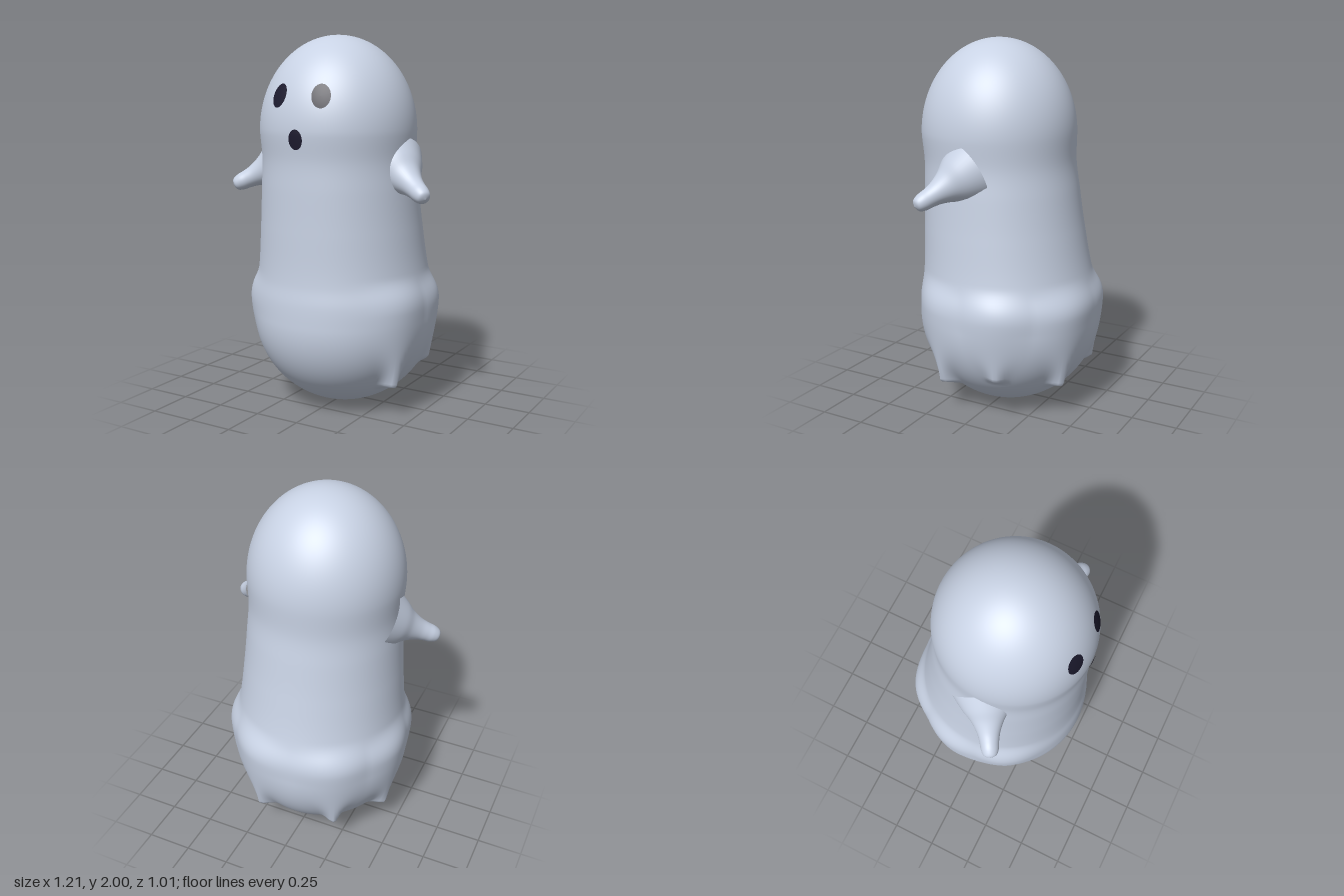
import * as THREE from 'three';
import { mergeVertices } from 'three/addons/utils/BufferGeometryUtils.js';

const { smoothstep, degToRad } = THREE.MathUtils;

// Body cross-section: radius and z offset by height, between the domed ends
const heights = [0.38, 0.5, 0.62, 0.72, 1.0, 1.2, 1.35, 1.5, 1.62];
const sections = [0.5, 0, 0.5, 0, 0.495, 0, 0.472, 0.01, 0.44, 0.035,
  0.424, 0.05, 0.413, 0.06, 0.42, 0.067, 0.42, 0.067];
const spline = new THREE.CubicInterpolant(heights, sections, 2, new Float32Array(2));

function section(y) {
  if (y > 1.5) return [0.42 * Math.sqrt(Math.max(0, 1 - ((y - 1.5) / 0.5) ** 2)), 0.067];
  if (y < 0.5) return [0.5 * Math.sqrt(Math.max(0, 1 - ((y - 0.5) / 0.5) ** 2)), 0];
  const v = spline.evaluate(y);
  return [v[0], v[1]];
}

// Hem lobes: angle from the front in degrees, height of the hanging tip
const lobes = [[65, 0.155], [109, 0.235], [155, 0.175], [-147, 0.18], [-104, 0.17], [-62, 0.3]];

function lobeBulge(angle, y, r) {
  let bulge = 0;
  for (const [deg, tip] of lobes) {
    let d = angle - degToRad(deg);
    d = Math.abs(Math.atan2(Math.sin(d), Math.cos(d)));
    const k = smoothstep(y, tip, 0.6);
    const width = degToRad(5 + 15 * k);
    const ridge = 0.465 + 0.058 * smoothstep(y, tip - 0.1, 0.6);
    const fade = smoothstep(y, tip - 0.02, tip + 0.025) * (1 - smoothstep(y, 0.58, 0.76));
    bulge = Math.max(bulge, Math.max(0, ridge - r) * fade * Math.exp(-((d / width) ** 2)));
  }
  return bulge;
}

function bodyGeometry() {
  const geo = new THREE.SphereGeometry(1, 144, 180);
  const p = geo.attributes.position;
  for (let i = 0; i < p.count; i++) {
    const y = 1 + p.getY(i);
    const a = Math.atan2(p.getX(i), p.getZ(i));
    const [r0, cz] = section(y);
    const r = r0 + lobeBulge(a, y, r0);
    p.setXYZ(i, r * Math.sin(a), y, cz + r * Math.cos(a));
  }
  geo.deleteAttribute('uv');
  geo.deleteAttribute('normal');
  const merged = mergeVertices(geo, 1e-5);
  merged.computeVertexNormals();
  return merged;
}

// Flared stub arm, turned around its own axis
function makeArm(side, material) {
  const start = new THREE.Vector3(0.33 * side, 1.325, 0.065);
  const end = new THREE.Vector3(0.592 * side, 1.182, 0.222);
  const dir = end.clone().sub(start);
  const len = dir.length();
  const profile = new THREE.SplineCurve([
    [0.17, 0], [0.128, 0.08], [0.088, 0.14], [0.062, 0.2], [0.051, 0.25],
    [0.046, len - 0.045], [0.032, len - 0.012], [0, len],
  ].map(([x, y]) => new THREE.Vector2(x, y))).getPoints(40);
  profile[profile.length - 1].x = 0;
  const arm = new THREE.Mesh(new THREE.LatheGeometry(profile, 40), material);
  arm.position.copy(start);
  arm.quaternion.setFromUnitVectors(new THREE.Vector3(0, 1, 0), dir.normalize());
  return arm;
}

// Oval face marking laid on the head surface
function makeOval(cx, cy, rx, ry, tilt, material) {
  const geo = new THREE.RingGeometry(0, 1, 40, 5);
  geo.scale(rx, ry, 1).rotateZ(tilt).translate(cx, cy, 0);
  const p = geo.attributes.position;
  for (let i = 0; i < p.count; i++) {
    const x = p.getX(i);
    const [r, cz] = section(p.getY(i));
    p.setZ(i, cz + Math.sqrt(r * r - x * x) + 0.005);
  }
  geo.computeVertexNormals();
  return new THREE.Mesh(geo, material);
}

export function createModel() {
  const group = new THREE.Group();
  const sheet = new THREE.MeshStandardMaterial({ color: 0xc8d2e4 });
  sheet.name = 'pale blue grey';
  const dark = new THREE.MeshStandardMaterial({ color: 0x1c1a2e });
  dark.name = 'dark navy';

  const add = (name, mesh) => {
    mesh.name = name;
    group.add(mesh);
  };

  add('body', new THREE.Mesh(bodyGeometry(), sheet));
  for (const [label, side] of [['left', 1], ['right', -1]]) {
    add(label + 'Arm', makeArm(side, sheet));
    add(label + 'Eye', makeOval(0.122 * side, 1.688, 0.046, 0.061, 0.3 * side, dark));
  }
  add('mouth', makeOval(0, 1.472, 0.04, 0.051, 0, dark));
  return group;
}
